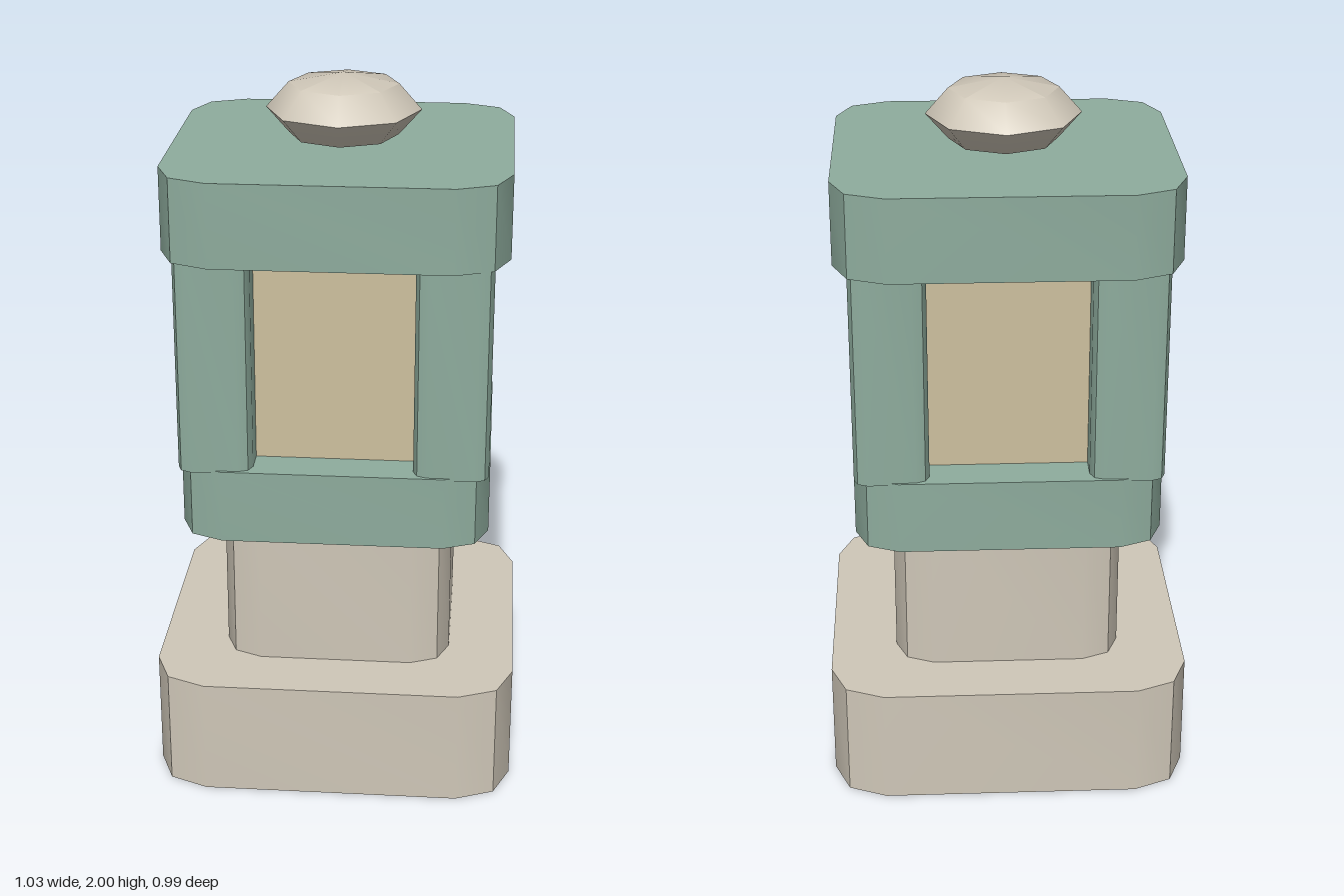
import * as THREE from 'three';
import { toCreasedNormals } from 'three/addons/utils/BufferGeometryUtils.js';

const CREASE = 0.7; // about 40 degrees

const stone = new THREE.MeshStandardMaterial({ name: 'stone', color: 0xcfc7b8 });
const green = new THREE.MeshStandardMaterial({ name: 'green metal', color: 0x8eac9d });
const cream = new THREE.MeshStandardMaterial({ name: 'cream pane', color: 0xcdc09e });

// Upright block with two-segment rounded corners; hx, hz are half sizes
function roundedBlock(name, material, hx, hz, r, y0, y1) {
  const points = [];
  [[1, 1], [-1, 1], [-1, -1], [1, -1]].forEach(([sx, sz], corner) => {
    for (let i = 0; i <= 2; i++) {
      const a = corner * Math.PI / 2 + i * Math.PI / 4;
      points.push(new THREE.Vector2(
        sx * (hx - r) + r * Math.cos(a),
        sz * (hz - r) + r * Math.sin(a)));
    }
  });
  const geometry = new THREE.ExtrudeGeometry(new THREE.Shape(points), { depth: y1 - y0, bevelEnabled: false });
  geometry.rotateX(-Math.PI / 2);
  const mesh = new THREE.Mesh(toCreasedNormals(geometry, CREASE), material);
  mesh.name = name;
  mesh.position.y = y0;
  return mesh;
}

export function createModel() {
  const lantern = new THREE.Group();
  lantern.name = 'lantern';

  // Stacked stone foot and metal slabs
  lantern.add(
    roundedBlock('base', stone, 0.515, 0.493, 0.153, 0, 0.34),
    roundedBlock('neck', stone, 0.327, 0.315, 0.11, 0.33, 0.78),
    roundedBlock('lowerFrame', green, 0.432, 0.42, 0.125, 0.77, 0.98),
    roundedBlock('cap', green, 0.47, 0.443, 0.146, 1.575, 1.808));

  // Lamp core seen between the posts
  const pane = new THREE.Mesh(new THREE.BoxGeometry(0.64, 0.62, 0.61), cream);
  pane.name = 'lampCore';
  pane.position.y = 1.277;
  lantern.add(pane);

  // Four corner posts
  for (const sx of [-1, 1]) {
    for (const sz of [-1, 1]) {
      const post = roundedBlock('cornerPost', green, 0.104, 0.101, 0.038, 0.973, 1.58);
      post.position.x = sx * 0.325;
      post.position.z = sz * 0.311;
      lantern.add(post);
    }
  }

  // Flattened eight-sided knob
  const knob = new THREE.SphereGeometry(1, 8, 4);
  knob.scale(0.215, 0.1, 0.215);
  const finial = new THREE.Mesh(toCreasedNormals(knob, CREASE), stone);
  finial.name = 'finial';
  finial.position.y = 1.9;
  lantern.add(finial);

  return lantern;
}
